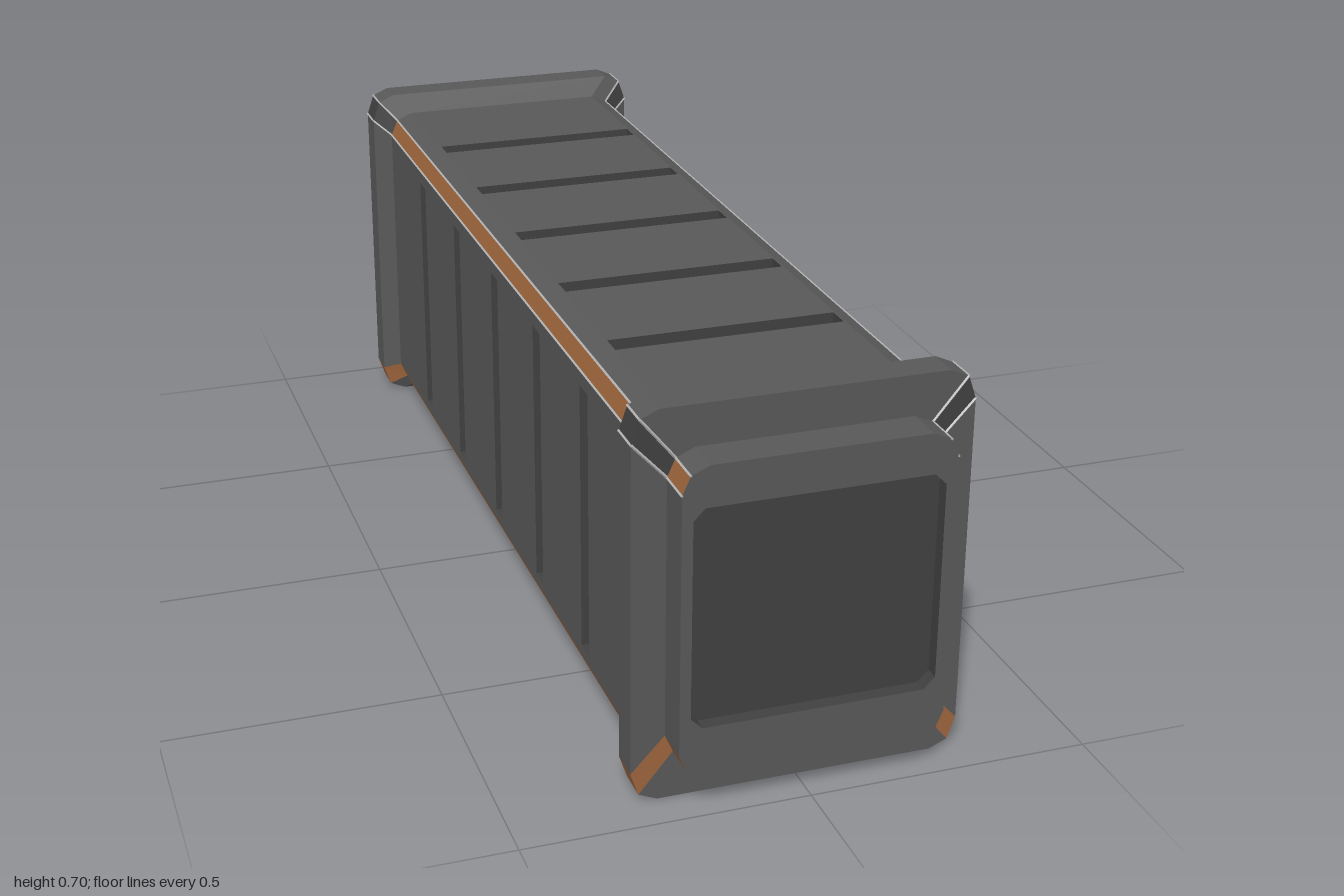
import * as THREE from 'three';
import { mergeGeometries } from 'three/addons/utils/BufferGeometryUtils.js';

const paint = (color) => new THREE.MeshStandardMaterial({ color, flatShading: true });
const grey = paint(0x585858);
const dark = paint(0x404040);
const orange = paint(0x9c643c);
const light = paint(0xb4b4b4);

// Cross-section with two-step bevelled corners, counter-clockwise seen from the front
function profile({ hw, y0, y1, cut = 0.046 }) {
  const m = 0.014, k = 0.046;
  return [
    [hw, y0 + cut], [hw, y1 - cut], [hw - m, y1 - m], [hw - k, y1],
    [k - hw, y1], [m - hw, y1 - m], [-hw, y1 - cut], [-hw, y0 + cut],
    [m - hw, y0 + m], [k - hw, y0], [hw - k, y0], [hw - m, y0 + m],
  ];
}

// Rectangle outline with optional clipped corners
function clippedRect(x0, x1, y0, y1, c = 0) {
  if (!c) return [[x0, y0], [x1, y0], [x1, y1], [x0, y1]];
  return [[x0 + c, y0], [x1 - c, y0], [x1, y0 + c], [x1, y1 - c],
    [x1 - c, y1], [x0 + c, y1], [x0, y1 - c], [x0, y0 + c]];
}

// Strips joining two matching outlines; keep() picks the edges to build
function strip(a, za, b, zb, keep = () => true) {
  const pos = [];
  a.forEach((p, i) => {
    if (!keep(i)) return;
    const j = (i + 1) % a.length;
    const A = [...p, za], B = [...a[j], za], C = [...b[j], zb], D = [...b[i], zb];
    pos.push(...A, ...B, ...C, ...A, ...C, ...D);
  });
  const g = new THREE.BufferGeometry();
  g.setAttribute('position', new THREE.Float32BufferAttribute(pos, 3));
  g.computeVertexNormals();
  return g;
}

function addMesh(parent, name, geometry, material) {
  const mesh = new THREE.Mesh(geometry, material);
  mesh.name = name;
  parent.add(mesh);
}

// Flat panel in the local XY plane with sunken pockets
function pocketPanel(name, outline, pockets, depth) {
  const group = new THREE.Group();
  group.name = name;
  const toVecs = (pts) => pts.map(([x, y]) => new THREE.Vector2(x, y));
  const face = new THREE.Shape(toVecs(outline));
  pockets.forEach((p) => face.holes.push(new THREE.Path(toVecs(p))));
  addMesh(group, 'panelFace', new THREE.ShapeGeometry(face), grey);
  for (const p of pockets) {
    addMesh(group, 'pocketWall', strip(p, 0, p, -depth), dark);
    const floor = new THREE.ShapeGeometry(new THREE.Shape(toVecs(p)));
    addMesh(group, 'pocketFloor', floor.translate(0, 0, -depth), dark);
  }
  return group;
}

export function createModel() {
  const model = new THREE.Group();
  model.name = 'container';

  const backEnd = { hw: 0.248, y0: 0.055, y1: 0.645 };
  const frontEnd = { hw: 0.232, y0: 0.072, y1: 0.628 };
  const flange = { hw: 0.291, y0: 0, y1: 0.7, cut: 0.055 };
  const body = { hw: 0.255, y0: 0.02, y1: 0.66 };
  const rings = [
    [backEnd, -1], [backEnd, -0.93], [flange, -0.93], [flange, -0.87], [body, -0.855],
    [body, 0.855], [flange, 0.87], [flange, 0.93], [frontEnd, 0.93], [frontEnd, 1],
  ].map(([s, z]) => ({ s, z, pts: profile(s) }));

  // Shell: grey flats, orange corner bevels, dark upper bevels on the flanges
  const steep = [1, 5, 7, 11], slotted = [0, 3, 6];
  const bins = { shell: [], cornerTrim: [], flangeCorner: [] };
  for (let r = 0; r + 1 < rings.length; r++) {
    const a = rings[r], b = rings[r + 1];
    const isBody = a.s === body && b.s === body;
    const isFlange = a.s === flange || b.s === flange;
    const darkEdge = (i) => isFlange && (i === 1 || i === 5);
    const make = (keep) => strip(a.pts, a.z, b.pts, b.z, keep);
    bins.shell.push(make((i) => !steep.includes(i) && !(isBody && slotted.includes(i))));
    bins.cornerTrim.push(make((i) => steep.includes(i) && !darkEdge(i)));
    if (isFlange) bins.flangeCorner.push(make(darkEdge));
  }
  addMesh(model, 'shell', mergeGeometries(bins.shell), grey);
  addMesh(model, 'cornerTrim', mergeGeometries(bins.cornerTrim), orange);
  addMesh(model, 'flangeCorner', mergeGeometries(bins.flangeCorner), dark);

  // Pale lines along the edges of the upper bevels
  const up = new THREE.Vector3(0, 1, 0);
  const lines = [];
  for (const k of [1, 2, 5, 6]) {
    for (let r = 0; r + 1 < rings.length; r++) {
      const p = new THREE.Vector3(...rings[r].pts[k], rings[r].z);
      const q = new THREE.Vector3(...rings[r + 1].pts[k], rings[r + 1].z);
      const dir = q.clone().sub(p);
      const g = new THREE.CylinderGeometry(0.0025, 0.0025, dir.length(), 4);
      g.applyQuaternion(new THREE.Quaternion().setFromUnitVectors(up, dir.normalize()));
      const mid = p.add(q).multiplyScalar(0.5);
      lines.push(g.translate(mid.x, mid.y, mid.z));
    }
  }
  addMesh(model, 'edgeLines', mergeGeometries(lines), light);

  // Slotted top and side panels
  const slotZ = [-2, -1, 0, 1, 2].map((i) => i * 0.285);
  const w = 0.0225;
  const topHalf = body.hw - 0.046;
  // The slots run almost the full width of the flat top
  const top = pocketPanel('topPanel', clippedRect(-topHalf, topHalf, -0.855, 0.855),
    slotZ.map((z) => clippedRect(-0.206, 0.206, z - w, z + w)), 0.02);
  top.rotation.x = -Math.PI / 2;
  top.position.y = body.y1;
  model.add(top);
  for (const side of [1, -1]) {
    const panel = pocketPanel(side > 0 ? 'leftPanel' : 'rightPanel',
      clippedRect(-0.855, 0.855, body.y0 + 0.046, body.y1 - 0.046),
      slotZ.map((z) => clippedRect(z - w, z + w, 0.083, 0.585)), 0.02);
    panel.rotation.y = side * Math.PI / 2;
    panel.position.x = side * body.hw;
    model.add(panel);
  }

  // Recessed end faces
  const front = pocketPanel('frontFace', profile(frontEnd),
    [clippedRect(-0.213, 0.213, 0.165, 0.556, 0.02)], 0.025);
  front.position.z = 1;
  const back = pocketPanel('backFace', profile(backEnd),
    [clippedRect(-0.2, 0.2, 0.22, 0.55, 0.02)], 0.025);
  back.rotation.y = Math.PI;
  back.position.z = -1;
  model.add(front, back);

  return model;
}
